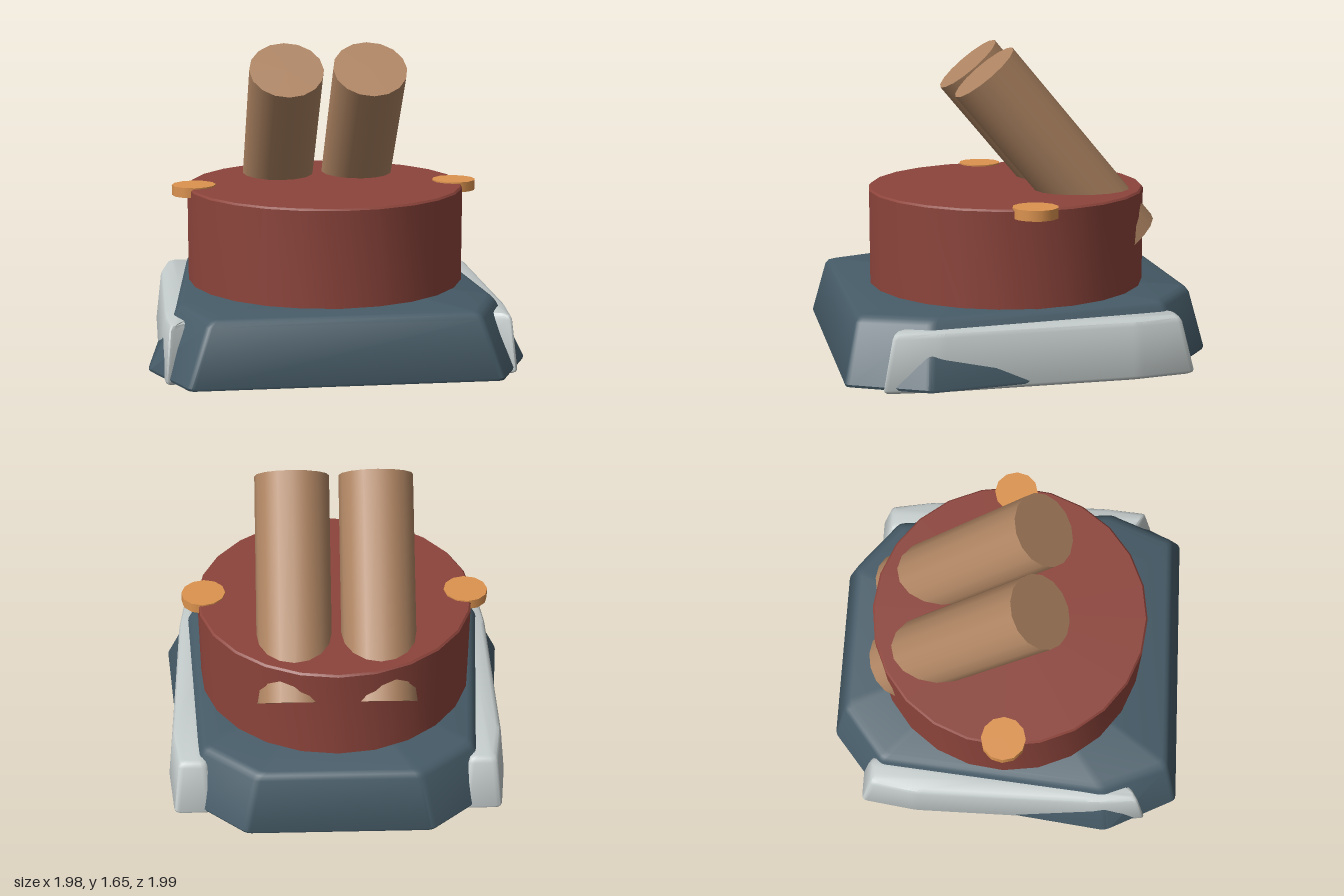
import * as THREE from 'three';
import { toCreasedNormals } from 'three/addons/utils/BufferGeometryUtils.js';

const material = (color) => new THREE.MeshStandardMaterial({ color });

// Mirror an outline across x, keeping its direction
const mirror = (pts) => pts.map(([x, z]) => [-x, z]).reverse();

// Cut each corner of an outline into a short curve
function roundCorners(pts, r) {
  const out = [];
  const v = pts.map(([x, z]) => new THREE.Vector2(x, z));
  v.forEach((p, i) => {
    const toward = (q) => p.clone().add(q.clone().sub(p).setLength(r));
    const a = toward(v[(i + v.length - 1) % v.length]);
    const b = toward(v[(i + 1) % v.length]);
    const curve = new THREE.QuadraticBezierCurve(a, p, b);
    out.push(...curve.getPoints(3));
  });
  return out;
}

// Solid between a bottom and a top outline, built from rings [height 0..1, inset]
function loft(bottom, top, y0, y1, r, rings) {
  const lo = roundCorners(bottom, r), hi = roundCorners(top, r), n = lo.length;
  const pos = [], index = [];
  const centre = hi.reduce((s, p) => s.add(p), new THREE.Vector2()).divideScalar(n);
  for (const [t, inset] of rings) {
    for (let i = 0; i < n; i++) {
      const p = lo[i].clone().lerp(hi[i], t);
      pos.push(p.x - inset * Math.sign(p.x - centre.x), y0 + (y1 - y0) * t,
        p.y - inset * Math.sign(p.y - centre.y));
    }
  }
  const last = (rings.length - 1) * n, c0 = rings.length * n;
  pos.push(centre.x, y0, centre.y, centre.x, y1, centre.y);
  for (let i = 0; i < n; i++) {
    const j = (i + 1) % n;
    for (let k = 0; k < last; k += n) {
      index.push(k + i, k + n + i, k + j, k + j, k + n + i, k + n + j);
    }
    index.push(c0, i, j, c0 + 1, last + j, last + i);
  }
  const g = new THREE.BufferGeometry();
  g.setAttribute('position', new THREE.Float32BufferAttribute(pos, 3));
  g.setIndex(index);
  return toCreasedNormals(g, 0.65);
}

export function createModel() {
  const group = new THREE.Group();
  const add = (name, geometry, mat) => {
    const mesh = new THREE.Mesh(geometry, mat);
    mesh.name = name;
    group.add(mesh);
    return mesh;
  };

  const hullMat = material(0x465b67);
  const turretMat = material(0x8c443b);
  const barrelMat = material(0xae8462);
  const hatchMat = material(0xdc934f);
  const trackMat = material(0xc3cbca);

  // Hull: wide eight-sided wedge with a softened top edge
  const hullLow = [[0.5, -1], [0.84, -0.72], [1, 0.6], [0.8, 1]];
  const hullHigh = [[0.43, -0.92], [0.72, -0.69], [0.83, 0.56], [0.69, 0.92]];
  add('hull', loft([...hullLow, ...mirror(hullLow)], [...hullHigh, ...mirror(hullHigh)],
    0.02, 0.36, 0.025, [[0, 0.008], [0.04, 0], [0.9, 0], [0.97, 0.01], [1, 0.03]]), hullMat);

  // Tracks: sloped side skirts, set into the hull
  const trackLow = [[0.68, -0.82], [0.885, -0.82], [0.93, -0.5], [0.938, 0.55],
    [0.91, 0.83], [0.59, 0.64], [0.59, -0.68]];
  const trackHigh = [[0.7, -0.75], [0.85, -0.75], [0.895, -0.5], [0.905, 0.52],
    [0.885, 0.77], [0.74, 0.68], [0.69, -0.66]];
  const trackRings = [[0, 0.02], [0.03, 0.006], [0.07, 0], [0.9, 0], [0.97, 0.008], [1, 0.025]];
  for (const side of ['left', 'right']) {
    const shape = (pts) => (side === 'left' ? pts : mirror(pts));
    add(side + 'Track', loft(shape(trackLow), shape(trackHigh), 0, 0.305, 0.03, trackRings), trackMat);
  }

  // Turret: squat drum with a fine edge bevel
  const profile = [[0, 0.3], [0.755, 0.3], [0.755, 0.87], [0.745, 0.88], [0, 0.88]]
    .map(([x, y]) => new THREE.Vector2(x, y));
  add('turret', toCreasedNormals(new THREE.LatheGeometry(profile, 24), 0.6), turretMat);

  // Barrels lean forward and their lower ends break through the turret's back
  const muzzle = new THREE.Vector3(0, 1.525, 0.165);
  const breech = new THREE.Vector3(0, 0.595, -0.615);
  const axis = muzzle.clone().sub(breech);
  for (const s of [1, -1]) {
    const side = s > 0 ? 'left' : 'right';
    const barrel = add(side + 'Barrel',
      new THREE.CylinderGeometry(0.2, 0.2, axis.length(), 16), barrelMat);
    barrel.position.copy(muzzle).add(breech).multiplyScalar(0.5).setX(s * 0.225);
    barrel.rotation.x = Math.atan2(axis.z, axis.y);

    // Round hatches overhanging the turret rim
    const hatch = add(side + 'Hatch', new THREE.CylinderGeometry(0.12, 0.12, 0.055, 12), hatchMat);
    hatch.position.set(s * 0.72, 0.86, 0);
  }

  return group;
}
